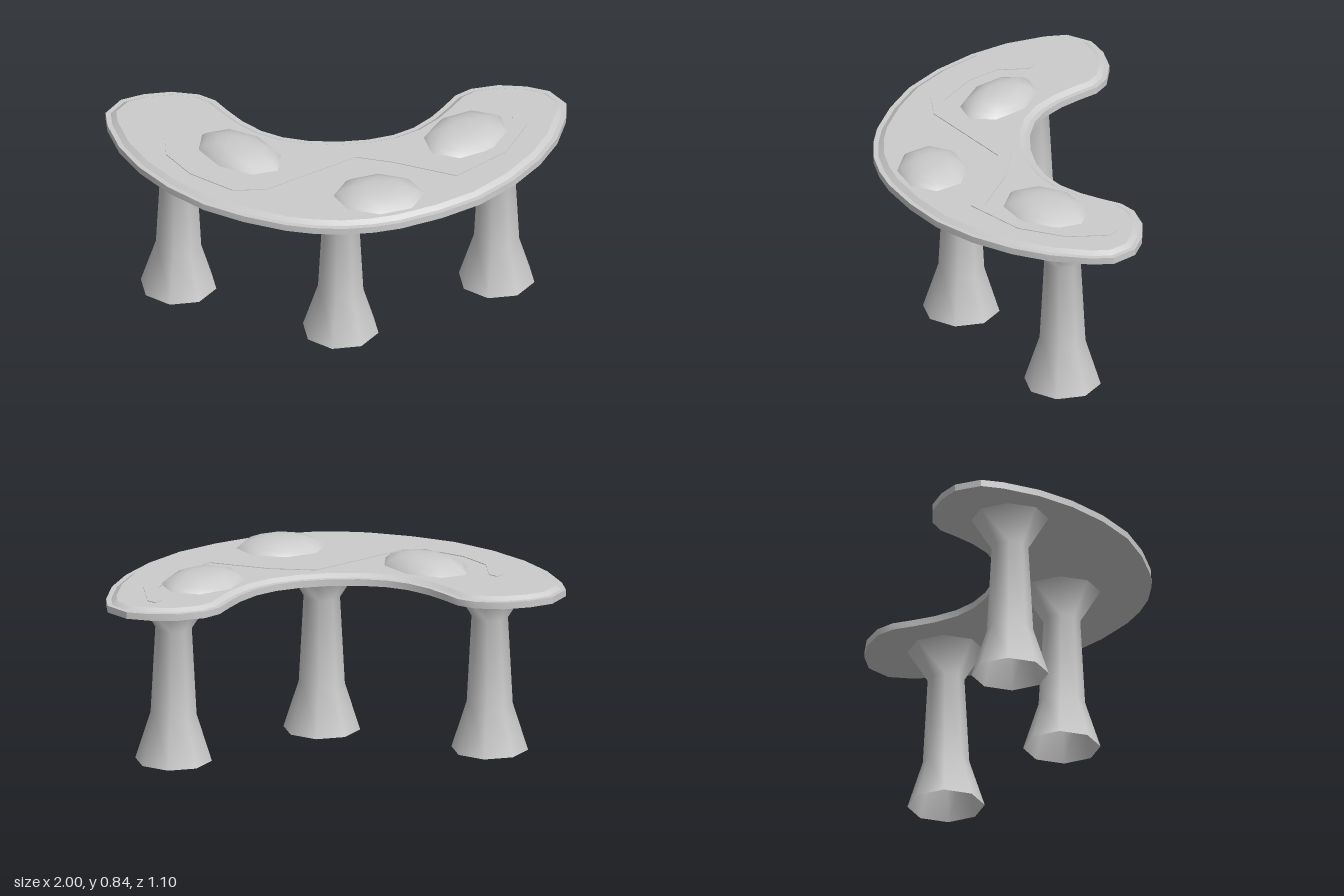
import * as THREE from 'three';
import { toCreasedNormals } from 'three/addons/utils/BufferGeometryUtils.js';

const V = (x, y) => new THREE.Vector2(x, y);

// Flat slab: outline given as (x, z), top face at the given height
function slab(points, top, depth, bevel = {}) {
  const geo = new THREE.ExtrudeGeometry(new THREE.Shape(points), { depth, bevelEnabled: false, ...bevel });
  geo.rotateX(Math.PI / 2);
  geo.computeBoundingBox();
  geo.translate(0, top - geo.boundingBox.max.y, 0);
  return toCreasedNormals(geo, 0.5);
}

export function createModel() {
  const group = new THREE.Group();
  const material = new THREE.MeshStandardMaterial({ color: 0xcccccc });
  const openMaterial = new THREE.MeshStandardMaterial({ color: 0xcccccc, side: THREE.DoubleSide });
  const add = (name, geo, mat = material) => {
    const mesh = new THREE.Mesh(geo, mat);
    mesh.name = name;
    group.add(mesh);
    return mesh;
  };

  // Kidney outline, right half from front middle to back middle, then mirrored
  const half = [
    [0, 0.545], [0.13, 0.533], [0.25, 0.505], [0.43, 0.43], [0.6, 0.33], [0.75, 0.19], [0.87, 0.03],
    [0.95, -0.13], [0.995, -0.3], [1, -0.4], [0.93, -0.5], [0.83, -0.54], [0.71, -0.555], [0.59, -0.53],
    [0.52, -0.48], [0.47, -0.4], [0.41, -0.315], [0.33, -0.235], [0.24, -0.182], [0.13, -0.15], [0, -0.138],
  ].map(([x, z]) => V(x, z));
  const outline = [...half, ...half.slice(1, -1).reverse().map((p) => V(-p.x, p.y))];

  // Table slab with a smaller bevelled plate on top
  add('tableSlab', slab(outline, 0.77, 0.03));
  add('tableTop', slab(outline, 0.785, 0.004, {
    bevelEnabled: true, bevelThickness: 0.015, bevelSize: 0.023, bevelOffset: -0.045, bevelSegments: 1,
  }));

  // Thin winding band between the domes
  const path = [
    [-0.72, -0.2], [-0.72, -0.05], [-0.63, 0.09], [-0.46, 0.22], [-0.34, 0.22], [0.06, -0.02],
    [0.24, 0.025], [0.5, 0.14], [0.7, -0.03], [0.79, -0.22], [0.795, -0.4],
  ].map(([x, z]) => V(x, z));
  const w = 0.032;
  const left = [], right = [];
  path.forEach((p, i) => {
    const a = path[Math.max(i - 1, 0)], b = path[Math.min(i + 1, path.length - 1)];
    const t = b.clone().sub(a).normalize();
    const n = V(-t.y, t.x);
    left.push(p.clone().addScaledVector(n, w));
    right.push(p.clone().addScaledVector(n, -w));
  });
  const startTip = path[0].clone().add(V(0, -w));
  const endTip = path[path.length - 1].clone().add(V(0, -w));
  add('windingBand', slab([startTip, ...left, endTip, ...right.reverse()], 0.788, 0.008));

  // Eight-sided flattened domes: x, z, long radius, short radius, height, turn
  const domeProfile = [V(1, 0), V(0.87, 0.42), V(0.58, 0.84), V(0.3, 0.97), V(0, 1)];
  const domes = [
    [-0.43, -0.045, 0.216, 0.138, 0.058, -0.74],
    [0.16, 0.305, 0.198, 0.155, 0.05, 0],
    [0.555, -0.15, 0.209, 0.16, 0.051, 0.74],
  ];
  for (const [x, z, rx, rz, h, turn] of domes) {
    const dome = add('dome', new THREE.LatheGeometry(domeProfile, 8));
    dome.position.set(x, 0.784, z);
    dome.scale.set(rx, h, rz);
    dome.rotation.y = turn;
  }

  // Three open, flared, eight-sided legs
  const legProfile = [V(0.168, 0), V(0.101, 0.21), V(0.08, 0.6), V(0.168, 0.74)];
  const legGeo = new THREE.LatheGeometry(legProfile, 8, -Math.PI / 12);
  for (const [name, x, z] of [['rightLeg', -0.69, -0.208], ['middleLeg', 0, 0.163], ['leftLeg', 0.69, -0.208]]) {
    add(name, legGeo, openMaterial).position.set(x, 0, z);
  }
  return group;
}
